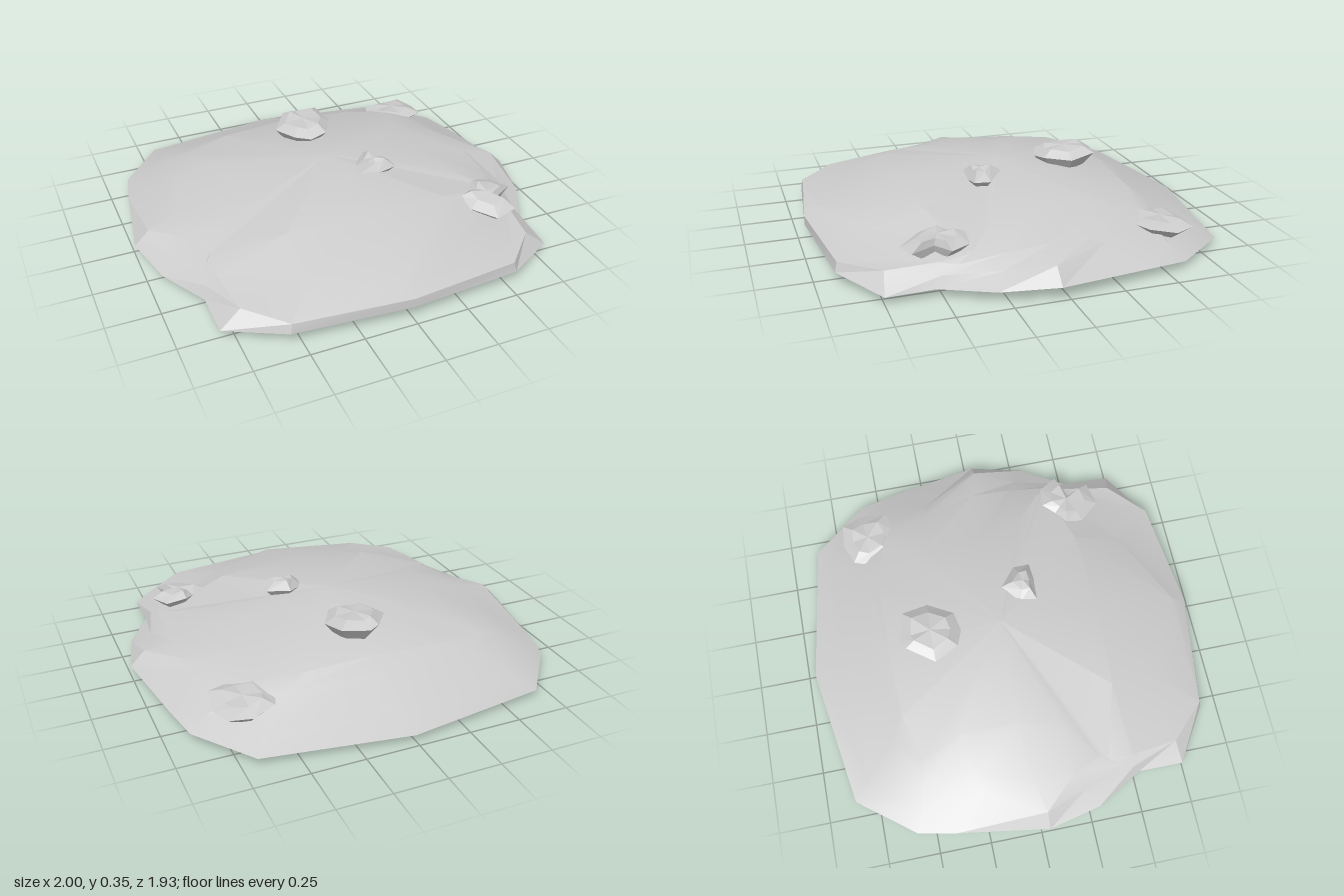
import * as THREE from 'three';
import { toCreasedNormals } from 'three/addons/utils/BufferGeometryUtils.js';

const material = new THREE.MeshStandardMaterial({ color: 0xcccccc });

// Skin closed rings (bottom to top, counterclockwise from above) and cap both ends with a point.
function loft(rings, bottom, top, crease) {
  const n = rings[0].length;
  const positions = [bottom, ...rings.flat(), top].flat();
  const last = rings.length * n + 1;
  const index = [];
  for (let i = 0; i < n; i++) {
    const k = (i + 1) % n;
    index.push(0, 1 + k, 1 + i);
    for (let r = 0; r < rings.length - 1; r++) {
      const a = 1 + r * n + i, b = 1 + r * n + k;
      index.push(a, b, b + n, a, b + n, a + n);
    }
    index.push(last - n + i, last - n + k, last);
  }
  const geometry = new THREE.BufferGeometry();
  geometry.setAttribute('position', new THREE.Float32BufferAttribute(positions, 3));
  geometry.setIndex(index);
  return toCreasedNormals(geometry, crease);
}

// Half cross-sections from front to back: rim, shoulder, slope, crest.
const sections = [
  [[0, 0.065, 0.965], [0, 0.11, 0.965], [0, 0.15, 0.9], [0, 0.255, 0.49]],
  [[0.55, 0.055, 0.91], [0.54, 0.1, 0.9], [0.38, 0.165, 0.7], [0.4, 0.24, 0.47]],
  [[0.81, 0.035, 0.75], [0.71, 0.11, 0.73], [0.74, 0.13, 0.5], [0.74, 0.145, 0.38]],
  [[0.81, 0.04, 0.53], [0.79, 0.09, 0.5], [0.77, 0.12, 0.42], [0.72, 0.155, 0.34]],
  [[0.94, 0.05, 0.3], [0.85, 0.1, 0.25], [0.78, 0.15, 0.2], [0.55, 0.21, 0.2]],
  [[1, 0.06, 0.04], [0.93, 0.13, 0.04], [0.78, 0.165, 0], [0.5, 0.225, -0.02]],
  [[0.93, 0.05, -0.4], [0.78, 0.14, -0.25], [0.7, 0.175, -0.27], [0.5, 0.225, -0.29]],
  [[0.89, 0.04, -0.59], [0.8, 0.09, -0.55], [0.68, 0.15, -0.52], [0.58, 0.18, -0.5]],
  [[0.68, 0.03, -0.86], [0.6, 0.075, -0.78], [0.45, 0.16, -0.62], [0.35, 0.205, -0.56]],
  [[0, 0.03, -0.965], [0, 0.1, -0.81], [0, 0.175, -0.66], [0, 0.22, -0.57]],
];

function createMound() {
  const mirrored = sections.slice(1, -1).reverse()
    .map((s) => s.map(([x, y, z]) => [-x, y, z]));
  const all = [...sections, ...mirrored];
  const rings = [0, 1, 2, 3].map((r) => all.map((s) => s[r]));
  // shallow underside
  const under = rings[0].map(([x, , z]) => [x * 0.86, 0.013, z * 0.86]);
  return loft([under, ...rings], [0, 0, 0], [0, 0.31, 0], 0.35);
}

// Faceted stone: a widest outline in [x, z], a narrower sunken base and a smaller top.
function createRock({ outline, y, tilt = [0, 0], base = 0.65, cap = 0.6 }) {
  const cx = outline.reduce((s, p) => s + p[0], 0) / outline.length;
  const cz = outline.reduce((s, p) => s + p[1], 0) / outline.length;
  const ring = (scale, h) => outline.map(([x, z], i) => {
    const dx = (x - cx) * scale, dz = (z - cz) * scale;
    return [cx + dx, h + dx * tilt[0] + dz * tilt[1] + (i % 2 ? 0.006 : -0.006), cz + dz];
  });
  const [low, mid, high] = y;
  return loft([ring(base, low), ring(1, mid), ring(cap, high)],
    [cx, low - 0.005, cz], [cx, high + 0.005, cz], 0.1);
}

const rocks = {
  largeRock: {
    outline: [[0, -0.2], [0.09, -0.22], [0.16, -0.34], [0.13, -0.47], [0, -0.5], [-0.05, -0.48], [-0.14, -0.35], [-0.08, -0.23]],
    y: [0.24, 0.305, 0.335], tilt: [0, -0.06], cap: 0.65,
  },
  smallRock: {
    outline: [[0.18, 0.21], [0.28, 0.2], [0.28, 0.12], [0.18, 0.04], [0.09, 0.12], [0.09, 0.2]],
    y: [0.25, 0.285, 0.325], tilt: [0, -0.1], cap: 0.5,
  },
  frontRock: {
    outline: [[0.61, 0.64], [0.72, 0.61], [0.67, 0.5], [0.78, 0.45], [0.73, 0.36], [0.63, 0.35], [0.58, 0.41], [0.51, 0.45], [0.52, 0.54]],
    y: [0.14, 0.185, 0.212], tilt: [-0.04, -0.12],
  },
  backRock: {
    outline: [[0.66, -0.43], [0.77, -0.47], [0.79, -0.6], [0.75, -0.7], [0.64, -0.71], [0.53, -0.67], [0.5, -0.59], [0.54, -0.47]],
    y: [0.1, 0.145, 0.168], tilt: [-0.03, 0.1],
  },
};

export function createModel() {
  const model = new THREE.Group();
  model.name = 'rockyMound';
  const add = (name, geometry) => {
    const mesh = new THREE.Mesh(geometry, material);
    mesh.name = name;
    model.add(mesh);
  };
  add('mound', createMound());
  for (const [name, spec] of Object.entries(rocks)) add(name, createRock(spec));
  return model;
}
